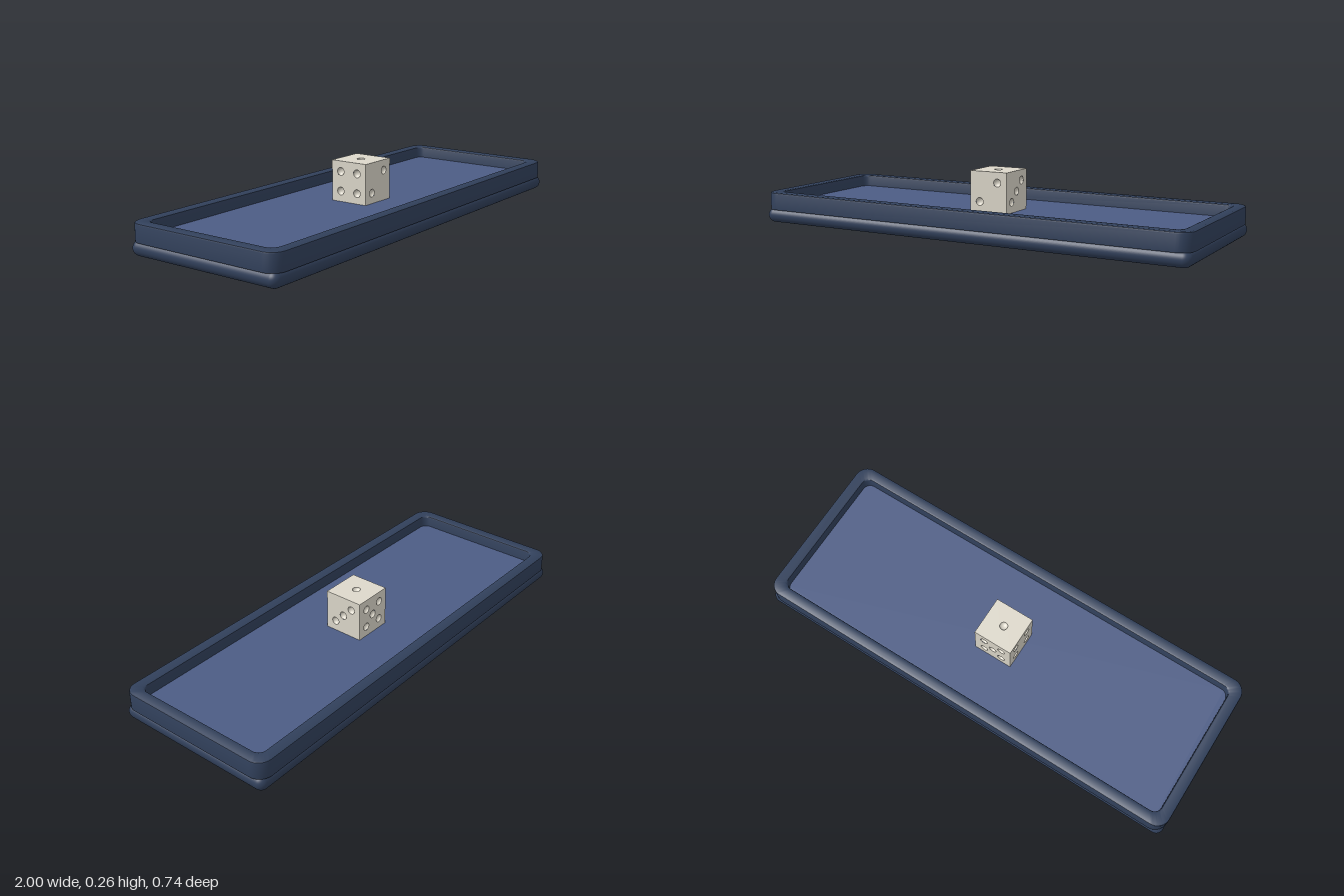
import * as THREE from 'three';
import { toCreasedNormals } from 'three/addons/utils/BufferGeometryUtils.js';
import { RoundedBoxGeometry } from 'three/addons/geometries/RoundedBoxGeometry.js';

const W = 1, D = 0.368; // half width and half depth of the tray
const mat = (name, color) => Object.assign(new THREE.MeshStandardMaterial({ color }), { name });

function roundedRect(hx, hy, r) {
  const s = new THREE.Shape();
  s.absarc(hx - r, hy - r, r, 0, Math.PI / 2);
  s.absarc(-hx + r, hy - r, r, Math.PI / 2, Math.PI);
  s.absarc(-hx + r, -hy + r, r, Math.PI, Math.PI * 1.5);
  s.absarc(hx - r, -hy + r, r, Math.PI * 1.5, Math.PI * 2);
  s.closePath();
  return s;
}

// Sweeps a closed profile of [inset, y, cornerRadius] around a rounded rectangle
function rimGeometry(profile, steps = 8) {
  const pos = [], index = [], n = 4 * (steps + 1), m = profile.length;
  for (const [inset, y, r] of profile) {
    for (let c = 0; c < 4; c++) {
      const sx = c === 0 || c === 3 ? 1 : -1, sz = c < 2 ? 1 : -1;
      for (let k = 0; k <= steps; k++) {
        const a = (c + k / steps) * Math.PI / 2;
        pos.push(sx * (W - inset - r) + r * Math.cos(a), y, sz * (D - inset - r) + r * Math.sin(a));
      }
    }
  }
  for (let j = 0; j < m; j++) {
    for (let i = 0; i < n; i++) {
      const a = j * n + i, b = j * n + (i + 1) % n;
      const c = ((j + 1) % m) * n + i, d = ((j + 1) % m) * n + (i + 1) % n;
      index.push(a, c, b, b, c, d);
    }
  }
  const g = new THREE.BufferGeometry();
  g.setAttribute('position', new THREE.Float32BufferAttribute(pos, 3));
  g.setIndex(index);
  return toCreasedNormals(g, 0.7);
}

export function createModel() {
  const model = new THREE.Group();
  model.name = 'diceTray';
  const navy = mat('navy', 0x31405b);
  const blue = mat('blue felt', 0x4c5c85);
  const cream = mat('cream', 0xddd8cb);
  const add = (parent, name, geo, material) => {
    const mesh = new THREE.Mesh(geo, material);
    mesh.name = name;
    parent.add(mesh);
    return mesh;
  };

  // Pill-edged base slab
  add(model, 'base', new RoundedBoxGeometry(2 * W, 0.066, 2 * D, 6, 0.0329), navy).position.y = 0.033;

  // Raised rim with softened top edges
  add(model, 'rim', rimGeometry([
    [0, 0.06, 0.06], [0, 0.130, 0.06], [0.002, 0.135, 0.058], [0.008, 0.138, 0.052],
    [0.044, 0.138, 0.041], [0.050, 0.135, 0.036], [0.052, 0.130, 0.035], [0.052, 0.06, 0.035],
  ]), navy);

  // Felt floor inside the rim
  const felt = new THREE.ExtrudeGeometry(roundedRect(W - 0.05, D - 0.05, 0.035), { depth: 0.025, bevelEnabled: false });
  felt.rotateX(-Math.PI / 2);
  add(model, 'feltFloor', felt, blue).position.y = 0.06;

  // Die: six pierced faces with a hollow bowl behind each pip
  const die = new THREE.Group();
  die.name = 'die';
  const h = 0.089, s = 0.043, r = 0.0175, depth = 0.013;
  die.position.y = 0.085 + h;
  model.add(die);
  const diag = [[-s, -s], [s, s]], corners = [...diag, [-s, s], [s, -s]], dot = [[0, 0]];
  const arc = [];
  for (let i = 0; i <= 6; i++) {
    const a = i / 6 * Math.PI / 2;
    arc.push(new THREE.Vector2(i === 6 ? 0 : r * Math.cos(a), -depth * Math.sin(a)));
  }
  const bowl = new THREE.LatheGeometry(arc, 24).rotateX(Math.PI / 2);
  const q = Math.PI / 2;
  const faces = [
    ['front', 0, 0, diag],
    ['sideThree', 0, q, [...diag, ...dot]],
    ['back', 0, 2 * q, [...corners, ...dot]],
    ['sideFour', 0, -q, corners],
    ['top', -q, 0, dot],
    ['bottom', q, 0, [...corners, [-s, 0], [s, 0]]],
  ];
  for (const [name, rx, ry, pips] of faces) {
    const face = new THREE.Group();
    face.name = name + 'Face';
    face.rotation.set(rx, ry, 0);
    die.add(face);
    const shape = new THREE.Shape([[-h, -h], [h, -h], [h, h], [-h, h]].map(p => new THREE.Vector2(...p)));
    for (const [x, y] of pips) {
      shape.holes.push(new THREE.Path().absarc(x, y, r, 0, Math.PI * 2, true));
      add(face, 'pip', bowl, cream).position.set(x, y, h);
    }
    add(face, 'panel', new THREE.ShapeGeometry(shape, 24), cream).position.z = h;
  }
  return model;
}
